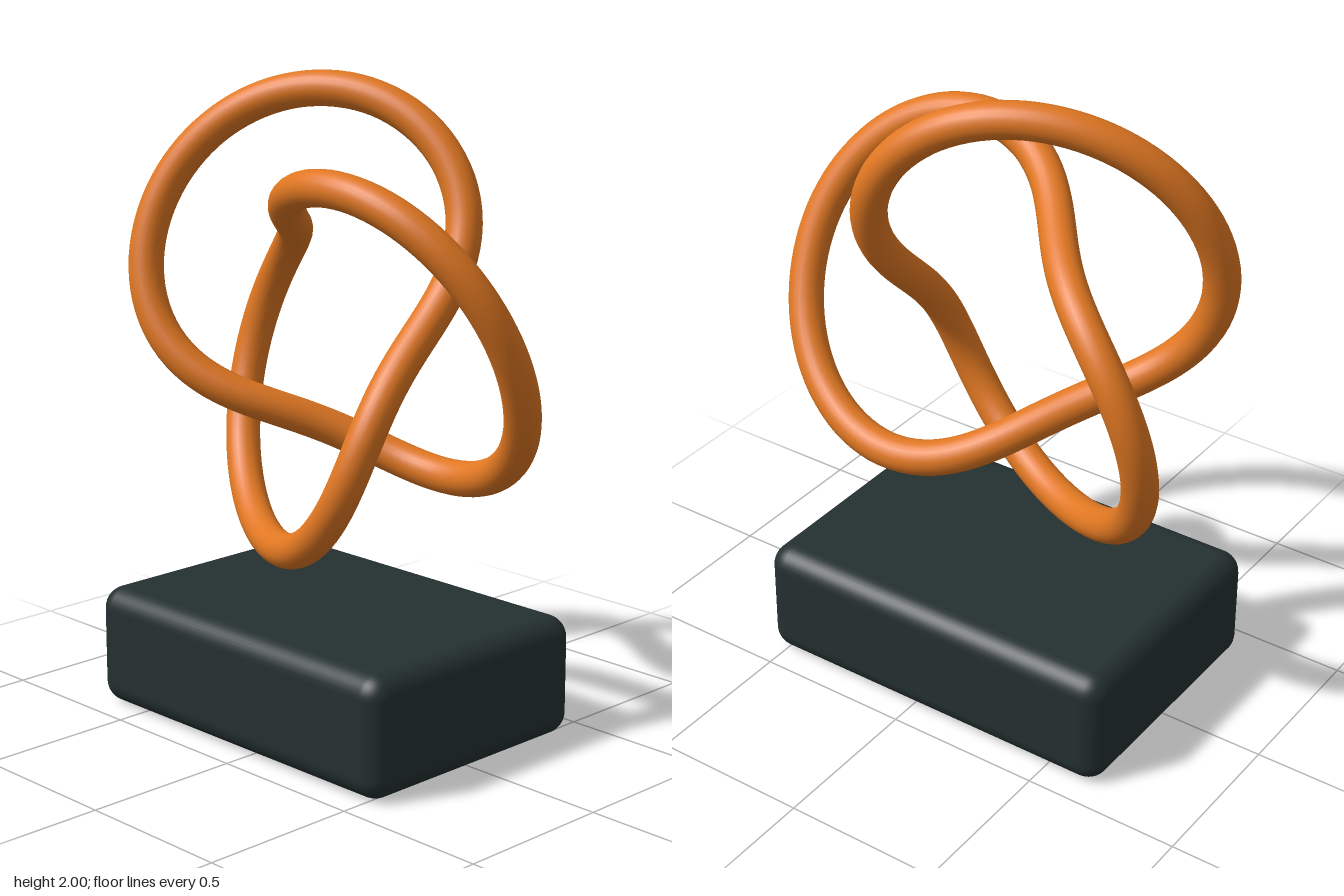
import * as THREE from 'three';
import { RoundedBoxGeometry } from 'three/addons/geometries/RoundedBoxGeometry.js';

// Closed trefoil: two turns around the centre, three swings in radius and depth
class TrefoilCurve extends THREE.Curve {
  getPoint(u, target = new THREE.Vector3()) {
    const t = u * Math.PI * 2;
    const r = 0.54 + 0.19 * Math.cos(3 * t);
    return target.set(r * Math.cos(2 * t), r * Math.sin(2 * t), 0.245 * Math.sin(3 * t));
  }
}

export function createModel() {
  const orange = new THREE.MeshStandardMaterial({ color: 0xe07722 });
  orange.name = 'orange';
  const darkSlate = new THREE.MeshStandardMaterial({ color: 0x243030 });
  darkSlate.name = 'darkSlate';

  const model = new THREE.Group();
  model.name = 'knotSculpture';
  const centreX = -0.066;

  // Knotted tube floating above the plinth
  const knot = new THREE.Mesh(
    new THREE.TubeGeometry(new TrefoilCurve(), 240, 0.055, 24, true), orange);
  knot.name = 'knot';
  knot.position.set(centreX, 1.25, 0);
  model.add(knot);

  // Rounded plinth
  const plinth = new THREE.Mesh(new RoundedBoxGeometry(1.246, 0.38, 0.864, 4, 0.07), darkSlate);
  plinth.name = 'plinth';
  plinth.position.set(centreX, 0.19, 0);
  model.add(plinth);

  return model;
}
